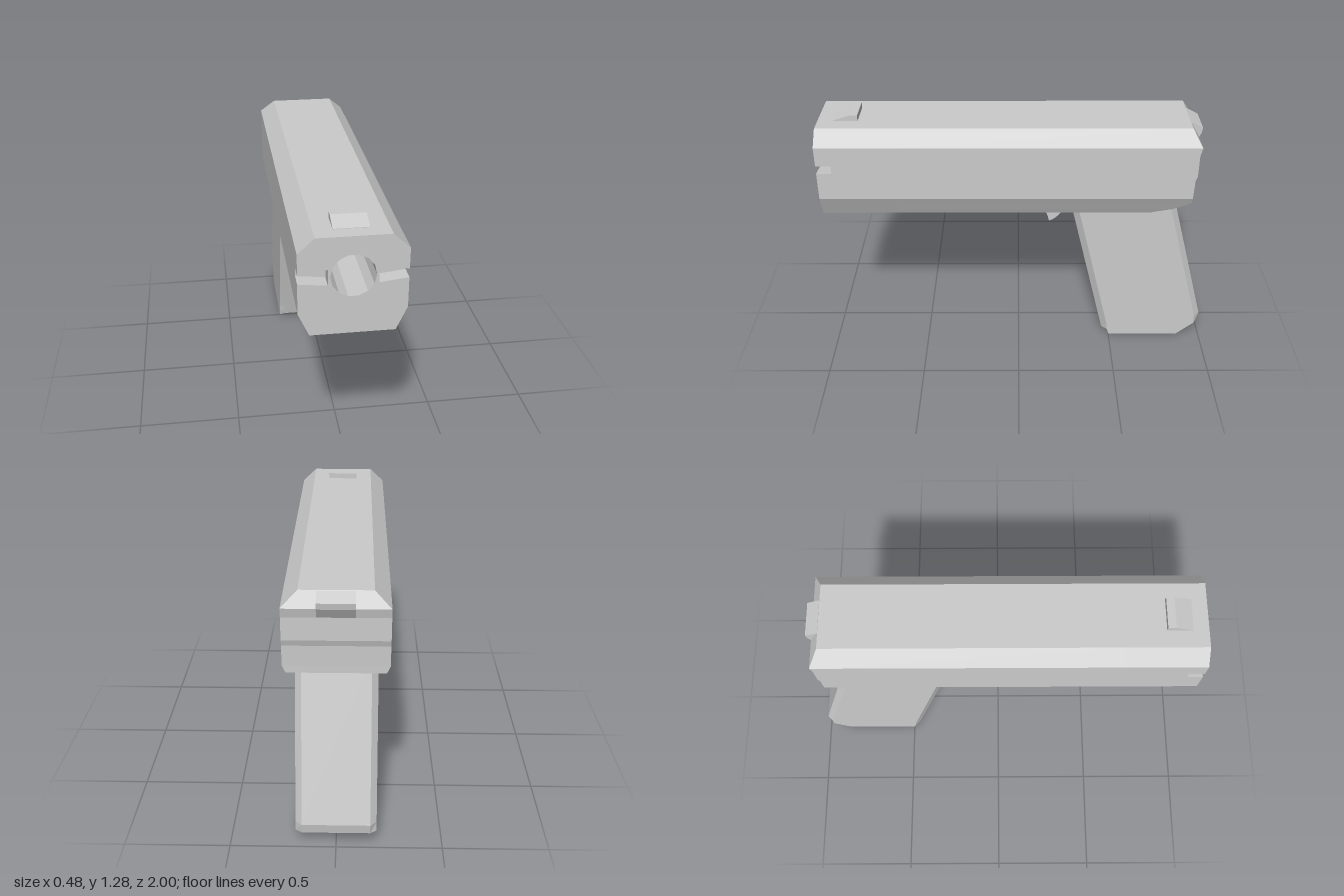
import * as THREE from 'three';

const material = new THREE.MeshStandardMaterial({ color: 0xcccccc, flatShading: true });

function add(group, name, geometry) {
  const mesh = new THREE.Mesh(geometry, material);
  mesh.name = name;
  group.add(mesh);
}

// Stacks convex rings (counterclockwise from above, bottom to top) into a closed solid
function loft(rings) {
  const n = rings[0].length;
  const index = [];
  for (let r = 0; r < rings.length - 1; r++) {
    for (let i = 0; i < n; i++) {
      const a = r * n + i, b = r * n + (i + 1) % n;
      index.push(a, b, b + n, a, b + n, a + n);
    }
  }
  const top = (rings.length - 1) * n;
  for (let i = 1; i < n - 1; i++) index.push(0, i + 1, i, top, top + i, top + i + 1);
  const indexed = new THREE.BufferGeometry();
  indexed.setAttribute('position', new THREE.Float32BufferAttribute(rings.flat(2), 3));
  indexed.setIndex(index);
  const geometry = indexed.toNonIndexed();
  geometry.computeVertexNormals();
  return geometry;
}

const shapeOf = (points) => new THREE.Shape(points.map(([x, y]) => new THREE.Vector2(x, y)));

// Extrudes a side profile of [z, y] points across x
function sideProfile(shape, width) {
  const geometry = new THREE.ExtrudeGeometry(shape, { depth: width, bevelEnabled: false, curveSegments: 6 });
  return geometry.translate(0, 0, -width / 2).rotateY(-Math.PI / 2);
}

// Front section of the body with the round bore, extruded along z
function bored(halfOutline, zBack, zFront) {
  const mirrored = halfOutline.map(([x, y]) => [-x, y]).reverse();
  const shape = shapeOf([...halfOutline, ...mirrored]);
  shape.holes.push(new THREE.Path().absarc(0, 1.07, 0.1, 0, Math.PI * 2, true));
  return new THREE.ExtrudeGeometry(shape, { depth: zFront - zBack, bevelEnabled: false, curveSegments: 7 })
    .translate(0, 0, zBack);
}

export function createModel() {
  const model = new THREE.Group();
  model.name = 'model';

  // Main body: [height, half width, rear z]
  const boreEnd = 0.6;
  const bodyRows = [
    [0.79, 0.19, -0.67], [0.82, 0.204, -0.79], [0.865, 0.224, -0.875], [0.9, 0.24, -0.875],
    [1.0, 0.24, -0.878], [1.03, 0.24, -0.887], [1.14, 0.24, -0.887], [1.185, 0.24, -0.897],
    [1.255, 0.165, -0.855],
  ];
  add(model, 'body', loft(bodyRows.map(([y, w, z]) => [
    [w, y, boreEnd], [w, y, z], [-w, y, z], [-w, y, boreEnd],
  ])));

  // Bored front, with side notches in the last stretch
  const lower = [[0.19, 0.79], [0.24, 0.9]];
  const upper = [[0.24, 1.185], [0.165, 1.255]];
  const notch = [[0.24, 1.045], [0.11, 1.03], [0.11, 1.105], [0.24, 1.087]];
  add(model, 'bodyFront', bored([...lower, ...upper], boreEnd, 0.925));
  add(model, 'notchedEnd', bored([...lower, ...notch, ...upper], 0.925, 1));

  // Raked grip: [height, front z, rear z, front chamfer, rear chamfer]
  const gripRows = [
    [0, -0.5, -0.88, 0, 0], [0.03, -0.462, -0.925, 0.03, 0.01], [0.075, -0.451, -0.99, 0.035, 0.02],
    [0.125, -0.439, -0.998, 0.035, 0.03], [0.9, -0.252, -0.788, 0.035, 0.03],
  ];
  add(model, 'grip', loft(gripRows.map(([y, f, b, cf, cb]) => {
    const right = [[0.16, y, f], [0.19, y, f - cf], [0.19, y, b + cb], [0.16, y, b]];
    return [...right, ...right.map(([x, h, z]) => [-x, h, z]).reverse()];
  })));

  // Curved trigger
  const trigger = new THREE.Shape();
  trigger.moveTo(-0.09, 0.8);
  trigger.lineTo(-0.09, 0.787);
  trigger.quadraticCurveTo(-0.15, 0.755, -0.16, 0.682);
  trigger.quadraticCurveTo(-0.215, 0.7, -0.252, 0.79);
  trigger.lineTo(-0.252, 0.8);
  add(model, 'trigger', sideProfile(trigger, 0.186));

  // Sights on the top edge
  add(model, 'frontSight', sideProfile(
    shapeOf([[0.925, 1.25], [0.925, 1.257], [0.84, 1.285], [0.8, 1.285], [0.8, 1.25]]), 0.16));
  add(model, 'rearSight', sideProfile(
    shapeOf([[-0.85, 1.255], [-0.92, 1.22], [-0.915, 1.19], [-0.887, 1.14], [-0.84, 1.14]]), 0.17));

  return model;
}
